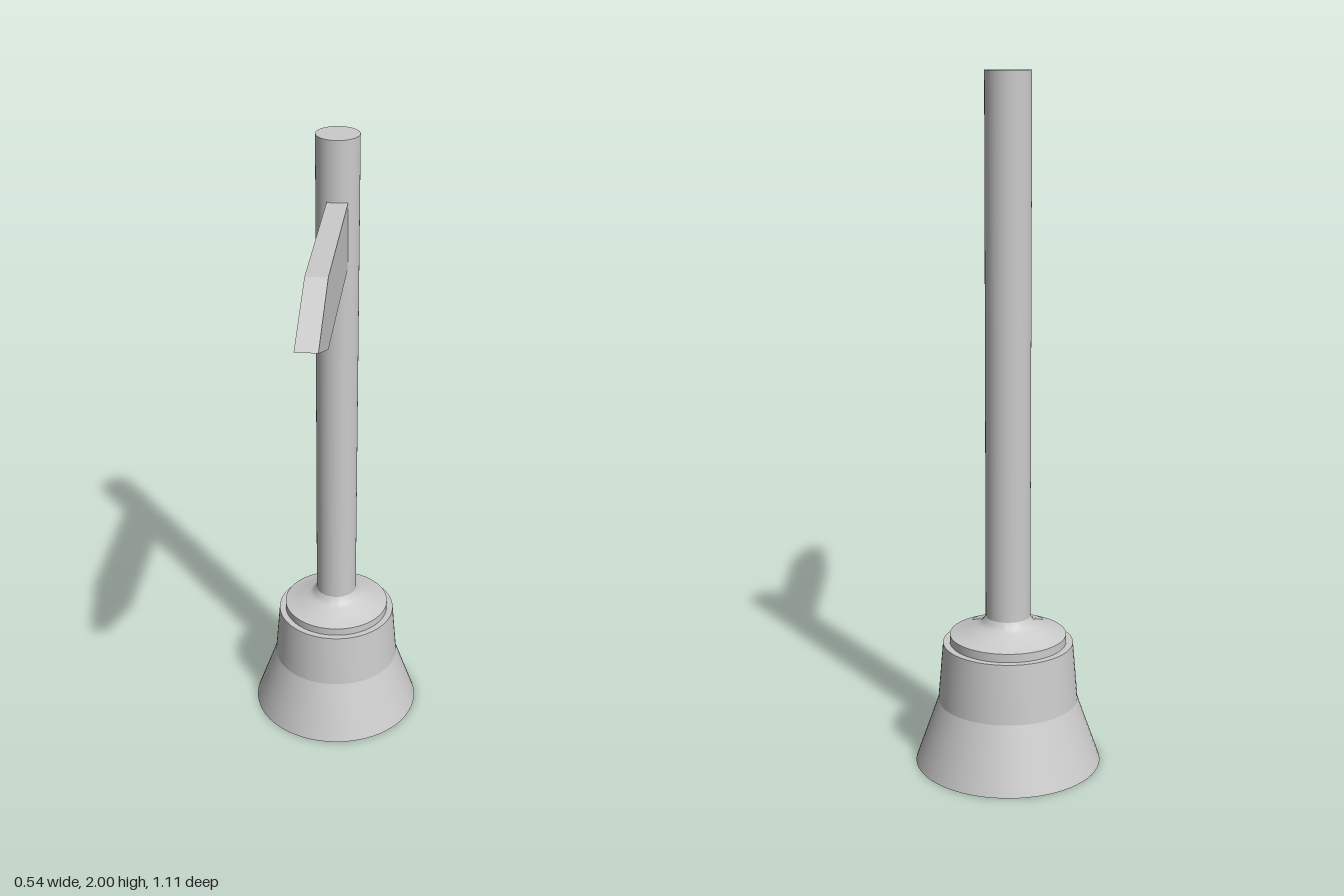
import * as THREE from 'three';
import { toCreasedNormals } from 'three/addons/utils/BufferGeometryUtils.js';

const POST_Z = -0.283;
const SEGMENTS = 64;

export function createModel() {
  const model = new THREE.Group();
  const material = new THREE.MeshStandardMaterial({ color: 0xcccccc });

  const add = (name, geometry, z = 0) => {
    const mesh = new THREE.Mesh(geometry, material);
    mesh.name = name;
    mesh.position.z = z;
    model.add(mesh);
  };
  const points = (list) => list.map(([x, y]) => new THREE.Vector2(x, y));

  // Flared foot, stepped rim and a softly concave cap that meets the post
  const cap = new THREE.SplineCurve(points([
    [0.17, 0.39], [0.145, 0.397], [0.115, 0.408], [0.085, 0.421], [0.073, 0.432], [0.065, 0.445],
  ])).getPoints(20);
  const profile = [
    ...points([[0, 0], [0.272, 0], [0.205, 0.19], [0.19, 0.365], [0.17, 0.365]]),
    ...cap,
    new THREE.Vector2(0, 0.445),
  ];
  add('base', toCreasedNormals(new THREE.LatheGeometry(profile, SEGMENTS), 0.2), POST_Z);

  // Round post
  const post = new THREE.CylinderGeometry(0.065, 0.065, 1.57, SEGMENTS);
  post.translate(0, 1.215, 0);
  add('post', post, POST_Z);

  // Pointed sign board, drawn in z and y, then turned to face sideways
  const outline = new THREE.Shape(points([
    [-0.225, 1.61], [0.32, 1.61], [0.555, 1.712], [0.32, 1.815], [-0.225, 1.815],
  ]));
  const board = new THREE.ExtrudeGeometry(outline, { depth: 0.062, bevelEnabled: false });
  board.rotateY(-Math.PI / 2);
  board.translate(0.036, 0, 0);
  add('signBoard', board);

  return model;
}
